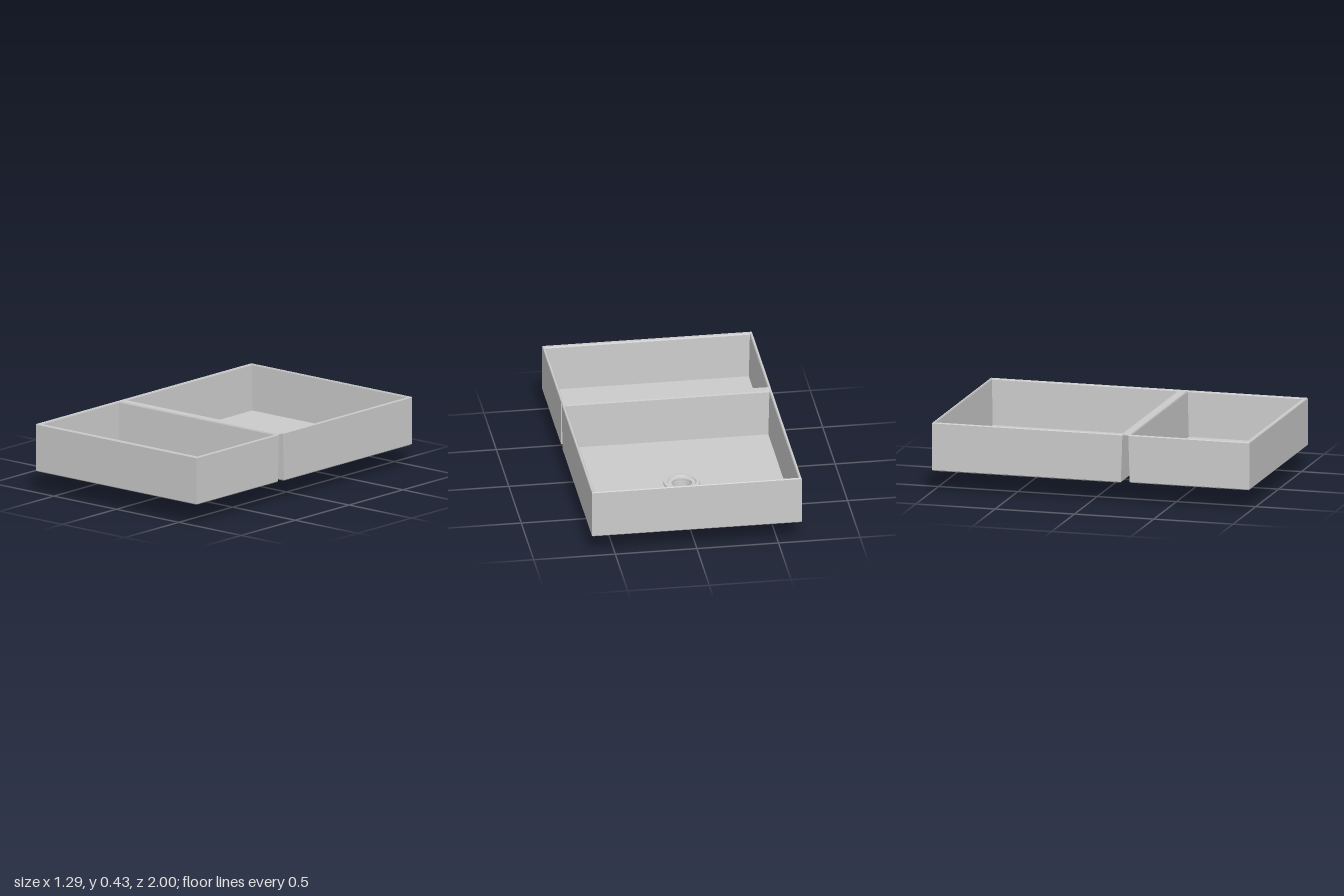
import * as THREE from 'three';

const material = new THREE.MeshStandardMaterial({ color: 0xcccccc, side: THREE.DoubleSide });

const add = (parent, geometry, name) => {
  const mesh = new THREE.Mesh(geometry, material);
  mesh.name = name;
  parent.add(mesh);
  return mesh;
};

// Flat-faced skin through rectangular sections [halfWidth, y, backZ, frontZ]
function rectLoft(sections) {
  const pos = [];
  const corners = ([x, y, b, f]) => [[-x, y, f], [x, y, f], [x, y, b], [-x, y, b]];
  for (let i = 0; i < sections.length - 1; i++) {
    const lo = corners(sections[i]), hi = corners(sections[i + 1]);
    for (let j = 0; j < 4; j++) {
      const k = (j + 1) % 4;
      pos.push(...lo[j], ...lo[k], ...hi[k], ...lo[j], ...hi[k], ...hi[j]);
    }
  }
  const g = new THREE.BufferGeometry();
  g.setAttribute('position', new THREE.Float32BufferAttribute(pos, 3));
  g.computeVertexNormals();
  return g;
}

// Horizontal plate with a round drain opening
function plate([x, y, b, f], drainZ, radius, up) {
  const s = new THREE.Shape();
  s.moveTo(-x, -f).lineTo(x, -f).lineTo(x, -b).lineTo(-x, -b).closePath();
  s.holes.push(new THREE.Path().absarc(0, -drainZ, radius, 0, Math.PI * 2, true));
  const g = new THREE.ShapeGeometry(s, 32);
  if (up) return g.rotateX(-Math.PI / 2).translate(0, y, 0);
  return g.scale(1, -1, 1).rotateX(Math.PI / 2).translate(0, y, 0);
}

function createBasin(name, sections, drainZ) {
  const basin = new THREE.Group();
  basin.name = name;
  add(basin, rectLoft(sections), 'walls');
  add(basin, plate(sections[sections.length - 1], drainZ, 0.06, true), 'floor');
  // Underside: the sheet is given a reversed winding so that it faces down
  const under = plate(sections[0], drainZ, 0.058, false);
  const idx = under.index.array;
  for (let i = 0; i < idx.length; i += 3) [idx[i], idx[i + 1]] = [idx[i + 1], idx[i]];
  under.computeVertexNormals();
  const n = under.attributes.normal;
  for (let i = 0; i < n.count; i++) n.setXYZ(i, 0, -1, 0);
  add(basin, under, 'underside');
  return basin;
}

// Strainer cup with stepped flange; y = 0 is the lower end
function createDrain(floorY, baseY, z) {
  const drain = new THREE.Group();
  drain.name = 'drain';
  const lathe = (points, name) => add(drain,
    new THREE.LatheGeometry(points.map(p => new THREE.Vector2(...p)), 40), name);
  const top = floorY - baseY;
  // Raised ring on the floor, with a lip and a step down into the cup
  const ring = [[0.112, top], [0.109, top + 0.012], [0.088, top + 0.014], [0.084, top + 0.006], [0.062, top + 0.004]];
  for (let i = 0; i < ring.length - 1; i++) lathe([ring[i], ring[i + 1]], 'drainRing');
  // Cup: outer skin, bottom rim, inner skin
  lathe([[0.04, 0], [0.048, 0.008], [0.055, 0.022], [0.059, 0.045], [0.061, 0.075], [0.061, top + 0.004]], 'drainCup');
  lathe([[0.026, 0], [0.04, 0]], 'drainBottom');
  lathe([[0.062, top + 0.004], [0.056, 0.075], [0.052, 0.045], [0.045, 0.025], [0.036, 0.012], [0.026, 0.004], [0.026, 0]], 'drainBowl');
  // Clamping collar
  const collar = new THREE.CylinderGeometry(0.084, 0.084, 0.022, 40, 1, true).translate(0, 0.118, 0);
  add(drain, collar, 'drainCollar');
  lathe([[0.06, 0.107], [0.084, 0.107]], 'drainCollarUnderside');
  drain.position.set(0, baseY, z);
  return drain;
}

export function createModel() {
  const sink = new THREE.Group();
  sink.name = 'doubleSink';

  // Large rear basin: underside, outer wall, rim, inner wall, floor
  sink.add(createBasin('rearBasin', [
    [0.635, 0.127, -0.992, 0.184], [0.643, 0.134, -1, 0.19],
    [0.643, 0.423, -1, 0.2], [0.64, 0.428, -0.997, 0.2],
    [0.63, 0.428, -0.99, 0.193], [0.626, 0.42, -0.987, 0.19], [0.618, 0.14, -0.98, 0.181],
  ], -0.395));

  // Smaller front basin
  sink.add(createBasin('frontBasin', [
    [0.637, 0.131, 0.252, 0.994], [0.643, 0.137, 0.246, 1],
    [0.643, 0.423, 0.237, 1], [0.64, 0.428, 0.237, 0.997],
    [0.63, 0.428, 0.244, 0.978], [0.626, 0.42, 0.247, 0.974], [0.618, 0.144, 0.256, 0.964],
  ], 0.608));

  // Thin strip joining the two rims
  const bridge = add(sink, new THREE.BoxGeometry(1.28, 0.006, 0.046), 'rimBridge');
  bridge.position.set(0, 0.425, 0.2185);

  sink.add(createDrain(0.14, 0, -0.395), createDrain(0.144, 0.025, 0.608));
  return sink;
}
